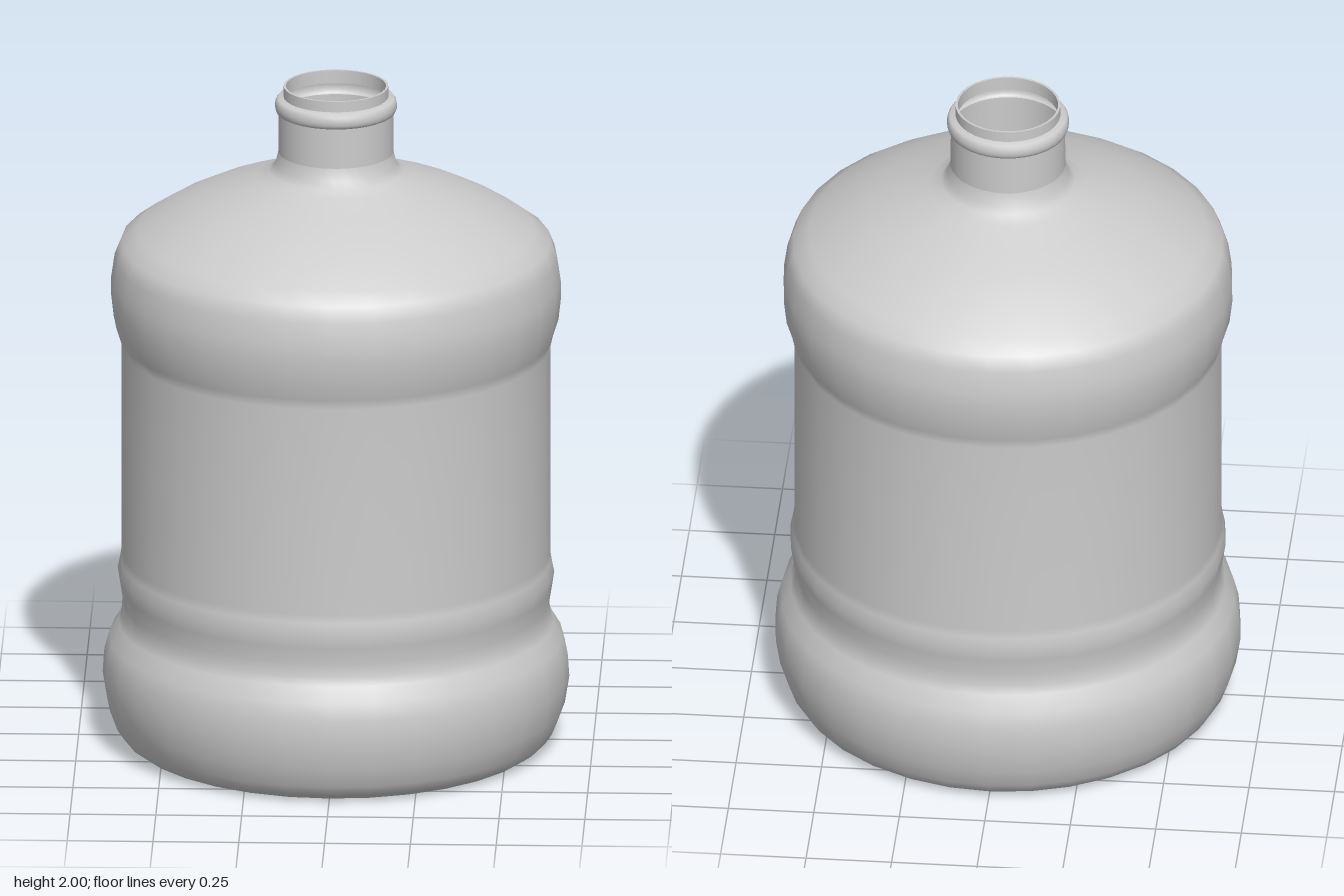
import * as THREE from 'three';

const SEGMENTS = 32;
const material = new THREE.MeshStandardMaterial({ color: 0xcccccc, side: THREE.DoubleSide });

// Revolves a bottom-to-top [radius, height] profile around the y axis.
function revolve(name, profile) {
  const points = profile.map(([r, y]) => new THREE.Vector2(r, y));
  const mesh = new THREE.Mesh(new THREE.LatheGeometry(points, SEGMENTS), material);
  mesh.name = name;
  return mesh;
}

export function createModel() {
  const bottle = new THREE.Group();
  bottle.name = 'waterBottle';

  // Flat underside, kept separate so its shading stays flat
  bottle.add(revolve('base', [[0, 0.005], [0.54, 0.005], [0.57, 0.005]]));

  // Lower bulge, groove, small bead, straight wall, upper bulge and shoulder
  bottle.add(revolve('body', [
    [0.57, 0.005], [0.6, 0.012], [0.625, 0.03], [0.645, 0.06], [0.667, 0.12],
    [0.68, 0.2], [0.675, 0.27], [0.662, 0.32], [0.635, 0.365], [0.625, 0.39],
    [0.622, 0.43], [0.63, 0.48], [0.636, 0.52], [0.629, 0.555], [0.625, 0.58],
    [0.625, 0.9], [0.625, 1.21], [0.632, 1.24], [0.648, 1.29], [0.656, 1.36],
    [0.655, 1.41], [0.645, 1.48], [0.627, 1.525], [0.58, 1.56], [0.5, 1.61],
    [0.41, 1.655], [0.32, 1.69], [0.23, 1.725], [0.195, 1.742], [0.177, 1.762],
    [0.168, 1.8],
  ]));

  // Straight neck, open at the top
  bottle.add(revolve('neck', [[0.168, 1.8], [0.167, 1.92]]));

  // Rounded collar around the neck
  bottle.add(revolve('collar', [
    [0.167, 1.92], [0.173, 1.923], [0.177, 1.932], [0.178, 1.943],
    [0.176, 1.956], [0.17, 1.964], [0.153, 1.968],
  ]));

  // Mouth wall with a thin rim
  bottle.add(revolve('mouth', [[0.153, 1.968], [0.153, 2]]));
  bottle.add(revolve('rim', [[0.153, 2], [0.146, 2]]));
  bottle.add(revolve('mouthInside', [[0.146, 2], [0.146, 1.96]]));

  return bottle;
}
